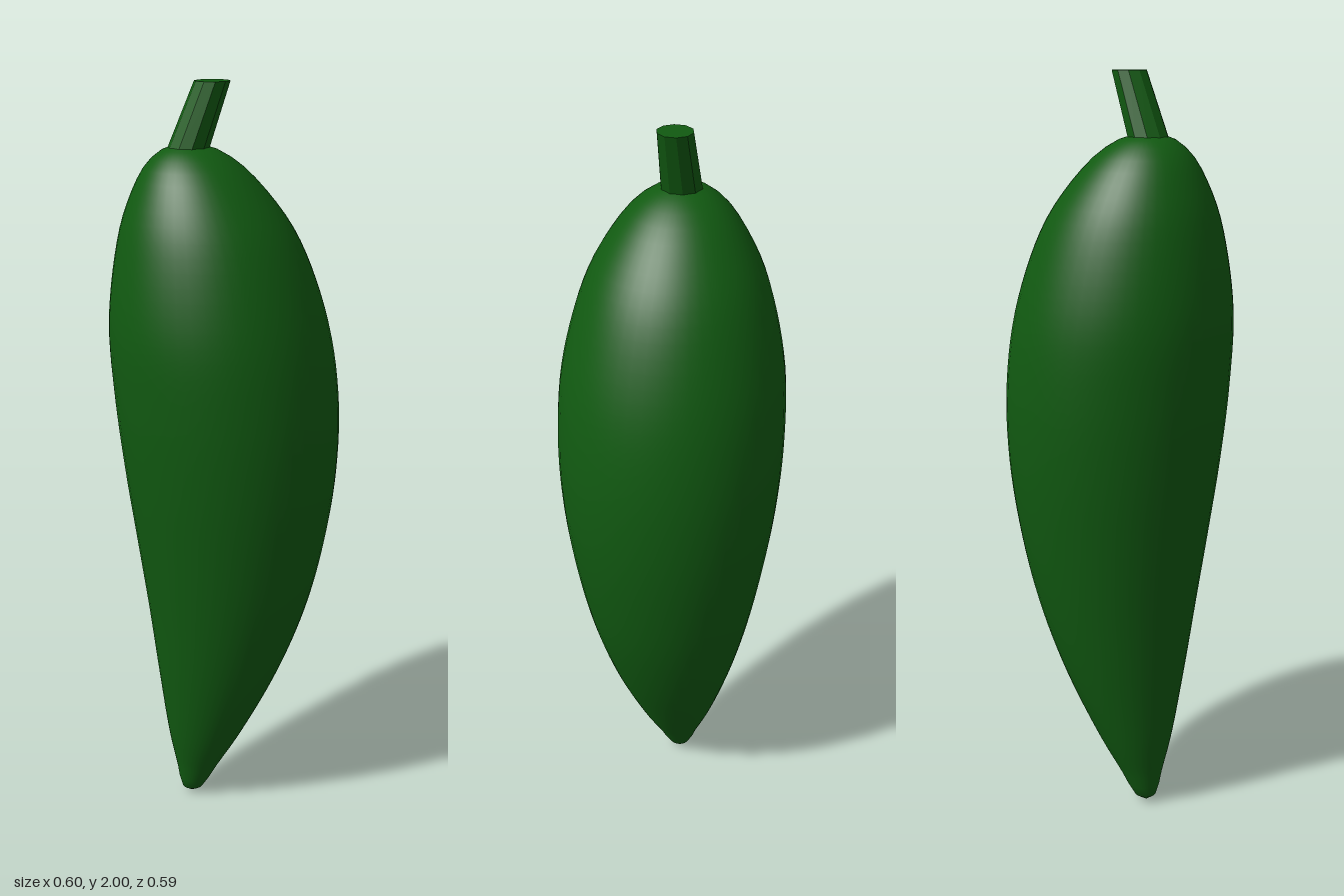
import * as THREE from 'three';
import { mergeVertices } from 'three/addons/utils/BufferGeometryUtils.js';

// Cross-sections from tip to shoulder: radius, height, x of the curved axis
const SECTIONS = [
  [0, 0.005, -0.1], [0.027, 0.022, -0.097], [0.06, 0.1, -0.081], [0.101, 0.2, -0.06],
  [0.167, 0.4, -0.021], [0.218, 0.6, 0.005], [0.256, 0.8, 0.015], [0.283, 1.0, 0.014],
  [0.294, 1.2, 0.003], [0.283, 1.4, -0.018], [0.235, 1.6, -0.042], [0.19, 1.7, -0.06],
  [0.118, 1.8, -0.082], [0.055, 1.842, -0.092], [0, 1.85, -0.095],
];

// Round lathe whose rings are shifted sideways along the curved axis
function podGeometry() {
  const curve = new THREE.CatmullRomCurve3(SECTIONS.map(s => new THREE.Vector3(...s)));
  const rings = curve.getSpacedPoints(56);
  const points = rings.map(p => new THREE.Vector2(Math.max(p.x, 0), p.y));
  const lathe = new THREE.LatheGeometry(points, 48);
  const pos = lathe.attributes.position;
  for (let i = 0; i < pos.count; i++) {
    pos.setX(i, pos.getX(i) + rings[i % rings.length].z);
  }
  // Weld the seam so the shading is smooth all round
  lathe.deleteAttribute('uv');
  lathe.deleteAttribute('normal');
  const geometry = mergeVertices(lathe, 1e-5);
  geometry.computeVertexNormals();
  return geometry;
}

// Ten-sided tapered stalk, leaning to +x with a level cut end
function stemGeometry() {
  const bottom = 1.83, top = 2;
  const geometry = new THREE.CylinderGeometry(0.045, 0.053, top - bottom, 10);
  geometry.translate(0, (top + bottom) / 2, 0);
  const pos = geometry.attributes.position;
  for (let i = 0; i < pos.count; i++) {
    const t = (pos.getY(i) - bottom) / (top - bottom);
    pos.setX(i, pos.getX(i) + THREE.MathUtils.lerp(-0.097, -0.033, t));
  }
  const flat = geometry.toNonIndexed();
  flat.computeVertexNormals();
  return flat;
}

export function createModel() {
  const green = new THREE.MeshStandardMaterial({ color: 0x115a11 });
  green.name = 'dark green';

  const group = new THREE.Group();
  group.name = 'pepper';

  const pod = new THREE.Mesh(podGeometry(), green);
  pod.name = 'pod';
  const stem = new THREE.Mesh(stemGeometry(), green);
  stem.name = 'stem';
  group.add(pod, stem);
  return group;
}
